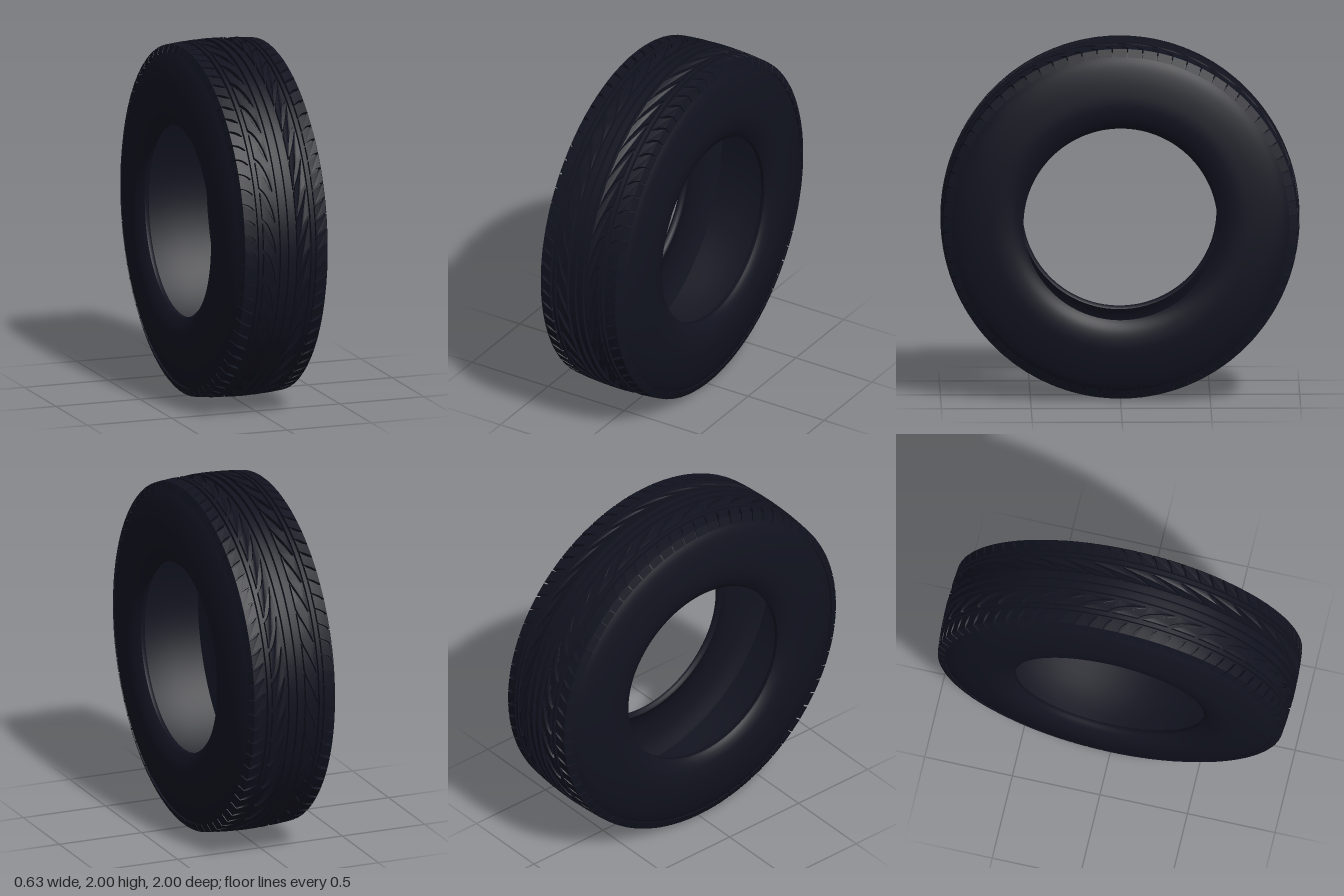
import * as THREE from 'three';
import { mergeGeometries, toCreasedNormals } from 'three/addons/utils/BufferGeometryUtils.js';

const SEGMENTS = 144;
const PITCHES = 36;
const rubber = new THREE.MeshStandardMaterial({ color: 0x10121e });

// Radius of the tread's crown and of the groove floor at axial position x
const crown = (x) => 1 - 0.25 * x * x;
const grooveFloor = (x) => crown(x) - 0.022;

// Revolve a profile of [radius, x] points about the x axis
function revolve(points) {
  const g = new THREE.LatheGeometry(points.map(([r, x]) => new THREE.Vector2(r, x)), SEGMENTS);
  return g.rotateZ(-Math.PI / 2);
}

// The same profile on the other side of the tyre
const mirrored = (points) => points.map(([r, x]) => [r, -x]).reverse();

// Smooth a few profile points
function smooth(points, n = 16) {
  const curve = new THREE.SplineCurve(points.map((p) => new THREE.Vector2(...p)));
  return curve.getPoints(n).map((p) => [p.x, p.y]);
}

// Solid rib with sharp edges running round the tread
function rib(x0, x1) {
  const a = [grooveFloor(x0) - 0.005, x0], b = [crown(x0), x0];
  const c = [crown(x1), x1], d = [grooveFloor(x1) - 0.005, x1];
  return mergeGeometries([revolve([a, b]), revolve([b, c]), revolve([c, d])]);
}

// Tread block: drawn flat as (x, arc length), extruded, then wrapped round the tyre
function block({ x0, x1, pitch, slant, power, gap, depth }, side) {
  const steps = 6, low = [], high = [];
  for (let i = 0; i <= steps; i++) {
    const t = i / steps;
    const x = side * (x0 + (x1 - x0) * t);
    const s = slant * Math.pow(t, power);
    const half = (gap / 2) * (0.35 + 0.65 * Math.sin(Math.PI * t)); // leaf-shaped groove
    low.push(new THREE.Vector2(x, s + half));
    high.push(new THREE.Vector2(x, s + pitch - half));
  }
  const shape = new THREE.Shape([...low, ...high.reverse()]);
  const g = new THREE.ExtrudeGeometry(shape, { depth, bevelEnabled: false });
  const p = g.attributes.position;
  for (let i = 0; i < p.count; i++) {
    const x = p.getX(i), a = p.getY(i), drop = depth - p.getZ(i);
    const r = crown(x) - drop;
    // the outer shoulder edge flares down onto the sidewall
    const flare = Math.abs(x) > 0.24 ? Math.sign(x) * drop * 0.42 : 0;
    p.setXYZ(i, x + flare, r * Math.sin(a), r * Math.cos(a));
  }
  return toCreasedNormals(g, 0.5);
}

// Ring of identical blocks on both sides of the centre line
function blockRing(count, options) {
  const pitch = (Math.PI * 2) / count;
  const parts = [];
  for (const side of [1, -1]) {
    const one = block({ ...options, pitch }, side);
    for (let i = 0; i < count; i++) parts.push(one.clone().rotateX(-i * pitch));
  }
  return mergeGeometries(parts);
}

export function createModel() {
  const tyre = new THREE.Group();
  tyre.name = 'tyre';
  tyre.position.y = 1;

  const add = (name, geometry) => {
    const mesh = new THREE.Mesh(geometry, rubber);
    mesh.name = name;
    tyre.add(mesh);
  };
  const addPair = (name, points) => {
    add('left' + name, revolve(points));
    add('right' + name, revolve(mirrored(points)));
  };

  // Hollow carcass
  const base = [];
  for (let i = -6; i <= 6; i++) {
    const x = (i / 6) * 0.236;
    base.push([grooveFloor(x), x]);
  }
  add('treadBase', revolve(base));
  addPair('Sidewall', smooth([
    [grooveFloor(0.236), 0.236], [0.91, 0.269], [0.84, 0.291], [0.76, 0.306],
    [0.68, 0.314], [0.61, 0.306], [0.565, 0.287], [0.54, 0.268],
  ], 24));
  addPair('Bead', [[0.54, 0.268], [0.54, 0.246], [0.556, 0.238]]);
  addPair('InnerWall', smooth([
    [0.556, 0.238], [0.61, 0.266], [0.7, 0.282], [0.8, 0.271], [0.9, 0.235],
  ]));
  add('innerLiner', revolve(smooth([[0.9, -0.235], [0.915, 0], [0.9, 0.235]], 8).reverse()));

  // Continuous ribs
  for (const [name, x0, x1] of [['centreRib', 0.012, 0.038], ['outerRib', 0.147, 0.165]]) {
    add(name + 'Left', rib(x0, x1));
    add(name + 'Right', rib(-x1, -x0));
  }

  // Curved leaf-cut blocks and slit shoulder blocks
  add('leafBlocks', blockRing(PITCHES, {
    x0: 0.062, x1: 0.136, slant: 0.2, power: 0.7, gap: 0.075, depth: 0.028,
  }));
  add('shoulderBlocks', blockRing(PITCHES * 2, {
    x0: 0.178, x1: 0.244, slant: 0.04, power: 0.8, gap: 0.022, depth: 0.045,
  }));
  return tyre;
}
